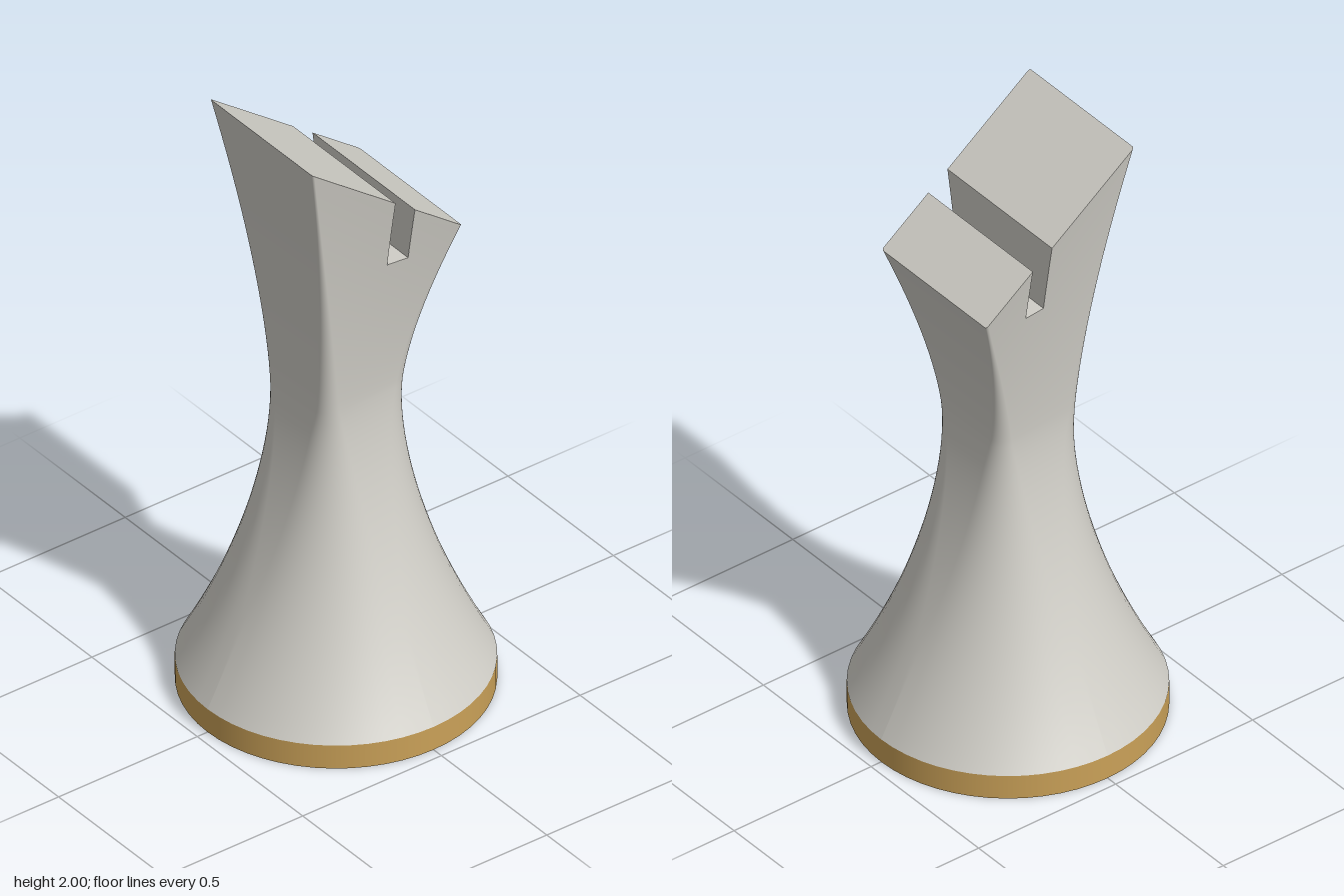
import * as THREE from 'three';

const BASE_TOP = 0.08, NECK = 1.05, BASE_R = 0.463;
const SLOT = { left: 0.03, right: 0.1, floor: 1.54 };
const ARC = 14; // segments per rounded corner

// Cross-section at s: -1 round foot, 0 narrow neck, 1 slanted square top
function section(s) {
  if (s < 0) {
    const w = 0.15 + (BASE_R - 0.15) * Math.pow(-s, 1.7);
    const r = w * (1 - 0.67 * Math.pow(1 + s, 2.2));
    return { w, d: w, r, y: NECK + s * (NECK - BASE_TOP), tilt: 0 };
  }
  const w = 0.15 + 0.12 * Math.pow(s, 1.6);
  const d = 0.15 + 0.093 * Math.pow(s, 1.45);
  return { w, d, r: w * (0.03 + 0.3 * (1 - s) ** 2), y: NECK + 0.75 * s, tilt: -0.2 * s / w };
}

// Rounded rectangle outline of one section, tilted towards +x
function ring(s) {
  const { w, d, r, y, tilt } = section(s), pts = [];
  for (let q = 0; q < 4; q++) {
    const sx = q === 0 || q === 3 ? 1 : -1, sz = q < 2 ? 1 : -1;
    for (let i = 0; i <= ARC; i++) {
      const a = (q + i / ARC) * Math.PI / 2;
      const x = sx * (w - r) + r * Math.cos(a);
      pts.push([x, y + tilt * x, sz * (d - r) + r * Math.sin(a)]);
    }
  }
  return pts;
}

// Half depth of the upper body at a given x and height
function depthAt(x, y) {
  let lo = 0, hi = 1;
  for (let i = 0; i < 30; i++) {
    const m = (lo + hi) / 2, c = section(m);
    if (c.y + c.tilt * x < y) lo = m; else hi = m;
  }
  return section(lo).d;
}

// Keep the part of a polygon where sign * (coordinate - limit) <= 0
function clip(poly, axis, limit, sign) {
  const out = [];
  poly.forEach((a, i) => {
    const b = poly[(i + 1) % poly.length];
    const da = sign * (a[axis] - limit), db = sign * (b[axis] - limit);
    if (da <= 0) out.push(a);
    if (da * db < 0) out.push(a.map((v, k) => v + (b[k] - v) * da / (da - db)));
  });
  return out;
}

// Remove the slot from a surface, keeping its smooth normals
function cutSlot(geometry) {
  const g = geometry.toNonIndexed(), p = g.attributes.position, n = g.attributes.normal;
  const pos = [], nor = [];
  const emit = (poly) => {
    for (let i = 1; i + 1 < poly.length; i++) {
      for (const v of [poly[0], poly[i], poly[i + 1]]) {
        pos.push(v[0], v[1], v[2]);
        nor.push(v[3], v[4], v[5]);
      }
    }
  };
  for (let i = 0; i < p.count; i += 3) {
    const tri = [i, i + 1, i + 2].map((k) =>
      [p.getX(k), p.getY(k), p.getZ(k), n.getX(k), n.getY(k), n.getZ(k)]);
    emit(clip(tri, 0, SLOT.left, 1));
    emit(clip(tri, 0, SLOT.right, -1));
    emit(clip(clip(clip(tri, 0, SLOT.left, -1), 0, SLOT.right, 1), 1, SLOT.floor, 1));
  }
  const out = new THREE.BufferGeometry();
  out.setAttribute('position', new THREE.Float32BufferAttribute(pos, 3));
  out.setAttribute('normal', new THREE.Float32BufferAttribute(nor, 3));
  return out;
}

function fromTriangles(points, index) {
  const g = new THREE.BufferGeometry();
  g.setAttribute('position', new THREE.Float32BufferAttribute(points.flat(), 3));
  g.setIndex(index);
  g.computeVertexNormals();
  return g;
}

// Side surface lofted from round foot to square top
function bodyGeometry() {
  const ROWS = 48, points = [], index = [], N = 4 * (ARC + 1);
  for (let j = 0; j <= ROWS; j++) points.push(...ring(-1 + 2 * j / ROWS));
  for (let j = 0; j < ROWS; j++) {
    for (let k = 0; k < N; k++) {
      const a = j * N + k, b = j * N + (k + 1) % N;
      index.push(a, a + N, b, b, a + N, b + N);
    }
  }
  return cutSlot(fromTriangles(points, index));
}

// Slanted top face
function topGeometry() {
  const outline = ring(1), N = outline.length, index = [];
  for (let k = 0; k < N; k++) index.push(N, (k + 1) % N, k);
  return cutSlot(fromTriangles([...outline, [0, section(1).y, 0]], index));
}

// One upright wall of the slot; facing is the x direction it looks in
function wallGeometry(x, facing) {
  const ROWS = 8, points = [], index = [], c = section(1);
  const top = c.y + c.tilt * x;
  for (let j = 0; j <= ROWS; j++) {
    const y = SLOT.floor + (top - SLOT.floor) * j / ROWS, d = depthAt(x, y);
    points.push([x, y, -d * facing], [x, y, d * facing]);
    if (j < ROWS) {
      const a = 2 * j;
      index.push(a, a + 2, a + 1, a + 1, a + 2, a + 3);
    }
  }
  return fromTriangles(points, index);
}

function floorGeometry() {
  const { left, right, floor } = SLOT;
  const a = depthAt(left, floor), b = depthAt(right, floor);
  return fromTriangles(
    [[left, floor, -a], [left, floor, a], [right, floor, b], [right, floor, -b]],
    [0, 1, 2, 0, 2, 3]);
}

export function createModel() {
  const stone = new THREE.MeshStandardMaterial({ color: 0xd0cec7 });
  stone.name = 'pale grey';
  const brass = new THREE.MeshStandardMaterial({ color: 0xcaa158 });
  brass.name = 'brass';

  const model = new THREE.Group();
  model.name = 'chessPiece';
  const add = (name, geometry, material) => {
    const mesh = new THREE.Mesh(geometry, material);
    mesh.name = name;
    model.add(mesh);
    return mesh;
  };

  add('base', new THREE.CylinderGeometry(BASE_R, BASE_R, BASE_TOP, 4 * ARC), brass)
    .position.y = BASE_TOP / 2;
  add('body', bodyGeometry(), stone);
  add('slantedTop', topGeometry(), stone);
  add('slotWallRight', wallGeometry(SLOT.left, 1), stone);
  add('slotWallLeft', wallGeometry(SLOT.right, -1), stone);
  add('slotFloor', floorGeometry(), stone);
  return model;
}
